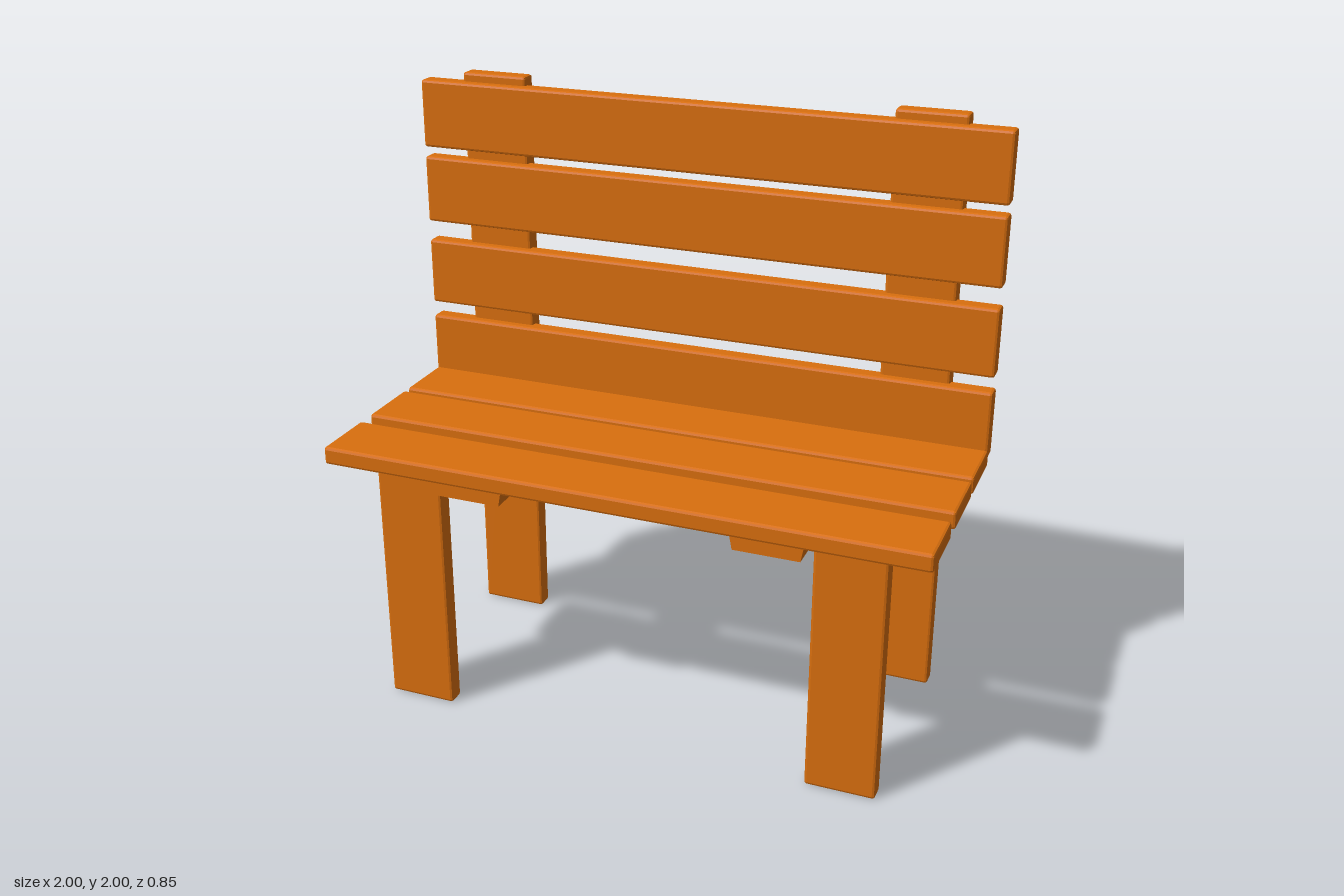
import * as THREE from 'three';
import { RoundedBoxGeometry } from 'three/addons/geometries/RoundedBoxGeometry.js';

const WIDE = 0.23, THICK = 0.06, BEVEL = 0.009;

export function createModel() {
  const bench = new THREE.Group();
  bench.name = 'bench';
  const wood = new THREE.MeshStandardMaterial({ color: 0xd96f0e, flatShading: true });

  // Plank with chamfered edges
  function plank(name, w, h, d, x, y, z) {
    const mesh = new THREE.Mesh(new RoundedBoxGeometry(w, h, d, 1, BEVEL), wood);
    mesh.name = name;
    mesh.position.set(x, y, z);
    bench.add(mesh);
  }

  // Seat planks, front to back
  for (const z of [0.31, 0.021, -0.235]) plank('seatPlank', 2, THICK, WIDE, 0, 0.9, z);

  // Backrest planks, bottom to top
  for (const y of [1.015, 1.295, 1.592, 1.855]) plank('backPlank', 2, WIDE, THICK, 0, y, -0.364);

  // Brace cross-section, slightly narrower at the bottom
  const section = new THREE.Shape([
    new THREE.Vector2(-0.107, 0.817), new THREE.Vector2(0.107, 0.817),
    new THREE.Vector2(0.118, 0.877), new THREE.Vector2(-0.118, 0.877),
  ]);
  const braceGeometry = new THREE.ExtrudeGeometry(section, { depth: 0.73, bevelEnabled: false });

  for (const side of [-1, 1]) {
    // Tall rear post and short front leg
    plank('rearPost', WIDE, 2, THICK, side * 0.74, 1, -0.395);
    plank('frontLeg', WIDE, 0.875, THICK, side * 0.74, 0.4375, 0.316);

    // Brace joining the seat planks from below
    const brace = new THREE.Mesh(braceGeometry, wood);
    brace.name = 'seatBrace';
    brace.position.set(side * 0.495, 0, -0.33);
    bench.add(brace);
  }
  return bench;
}
